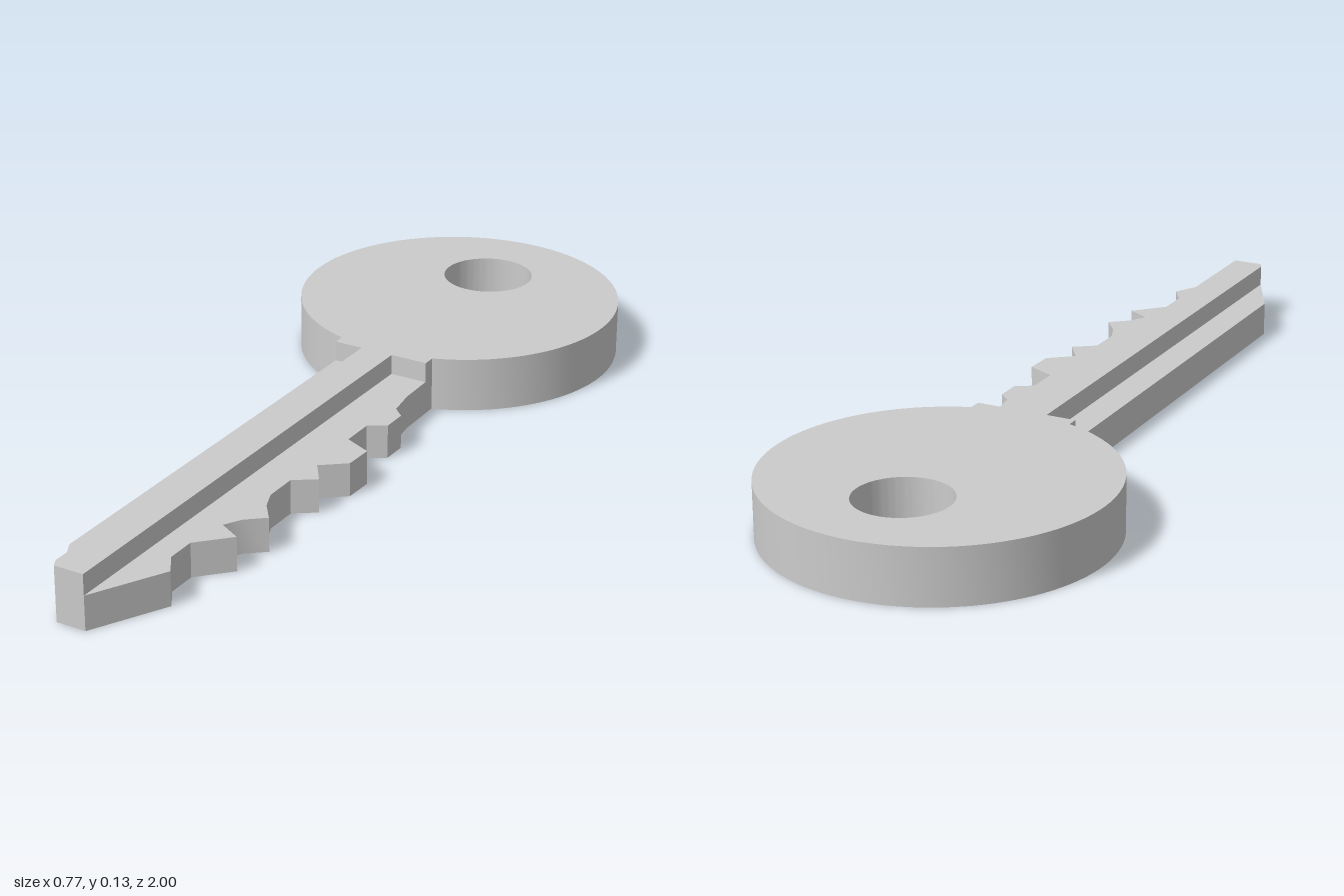
import * as THREE from 'three';
import { toCreasedNormals } from 'three/addons/utils/BufferGeometryUtils.js';

const THICK = 0.128, WEB = 0.08;        // full thickness, thinner blade flanks
const BOW_R = 0.385, BOW_Z = -0.615;    // round handle
const LEFT = -0.115, RIGHT = 0.125;     // neck sides
const RIB_L = -0.045, RIB_R = 0.035;    // raised rib sides
const SHOULDER = -0.22;                 // where the neck meets the blade

const material = new THREE.MeshStandardMaterial({ color: 0xcccccc });

// Extrude a plan outline (shape y = -z) upward from the ground
function plate(name, shape, height) {
  const geometry = new THREE.ExtrudeGeometry(shape, { depth: height, bevelEnabled: false, curveSegments: 48 });
  geometry.rotateX(-Math.PI / 2);
  const mesh = new THREE.Mesh(toCreasedNormals(geometry, 0.55), material);
  mesh.name = name;
  return mesh;
}

const outline = (points) => new THREE.Shape(points.map(([x, z]) => new THREE.Vector2(x, -z)));

export function createModel() {
  const key = new THREE.Group();
  key.name = 'key';

  // Bow, neck and central rib share the full thickness
  const body = new THREE.Shape();
  body.absarc(0, -BOW_Z, BOW_R,
    -Math.PI / 2 + Math.asin(RIGHT / BOW_R),
    1.5 * Math.PI - Math.asin(-LEFT / BOW_R), false);
  for (const [x, z] of [
    [LEFT, SHOULDER], [RIB_L, SHOULDER], [RIB_L, 0.98], [-0.035, 1],
    [RIB_R, 1], [RIB_R, SHOULDER], [RIGHT, SHOULDER],
  ]) body.lineTo(x, -z);
  body.closePath();
  const hole = new THREE.Path();
  hole.absarc(0, 0.765, 0.108, 0, Math.PI * 2, true);
  body.holes.push(hole);
  key.add(plate('bowAndRib', body, THICK));

  // Plain flank with tapered tip
  key.add(plate('plainFlank', outline([
    [LEFT, SHOULDER], [LEFT, 0.84], [RIB_L, 0.98], [RIB_L, SHOULDER],
  ]), WEB));

  // Toothed flank, cut from the neck down to the tip
  key.add(plate('toothedFlank', outline([
    [RIB_R, SHOULDER], [RIB_R, 1], [0.125, 0.83],
    [0.093, 0.78], [0.093, 0.71], [0.16, 0.64], [0.107, 0.61], [0.13, 0.57],
    [0.172, 0.535], [0.138, 0.49], [0.12, 0.445], [0.12, 0.365], [0.17, 0.33],
    [0.132, 0.275], [0.188, 0.23], [0.19, 0.16], [0.125, 0.13], [0.125, 0.05],
    [0.165, 0.025], [0.165, -0.035], [0.138, -0.06], [0.127, -0.13], [RIGHT, SHOULDER],
  ]), WEB));

  return key;
}
